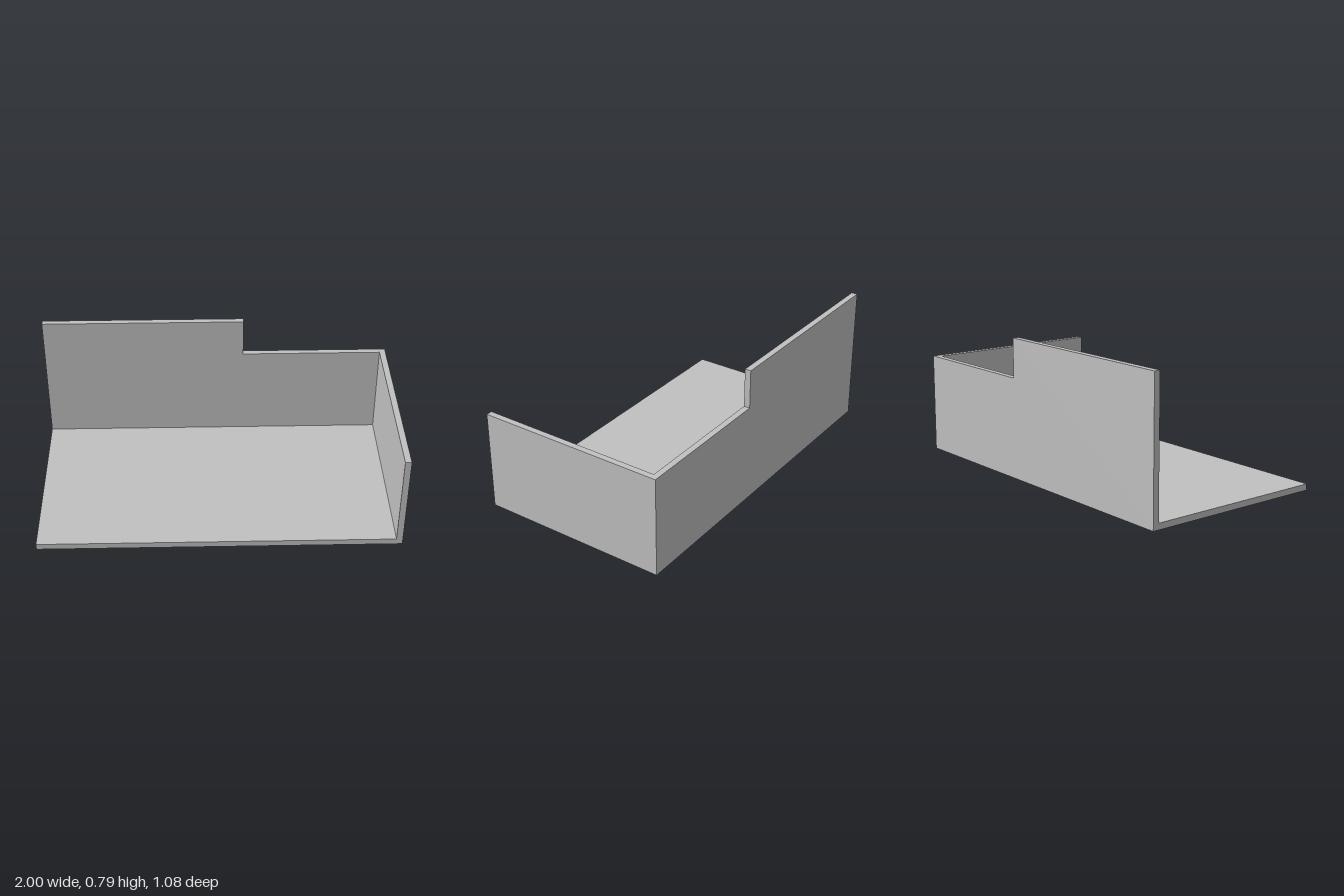
import * as THREE from 'three';

export function createModel() {
  const group = new THREE.Group();
  const lightGrey = new THREE.MeshStandardMaterial({ color: 0xc0c0c0 });
  lightGrey.name = 'lightGrey';

  const T = 0.035;          // panel thickness
  const D = 0.542;          // half depth
  const LOW = 0.566;        // height of side wall and low part of back wall
  const HIGH = 0.787;       // height of tall part of back wall
  const STEP = 0.162;       // x of the step in the back wall

  const add = (name, geometry, x, y, z) => {
    const mesh = new THREE.Mesh(geometry, lightGrey);
    mesh.name = name;
    mesh.position.set(x, y, z);
    group.add(mesh);
  };

  // Stepped back wall across the full width
  const outline = new THREE.Shape([
    [-1, 0], [1, 0], [1, LOW], [STEP, LOW], [STEP, HIGH], [-1, HIGH],
  ].map(([x, y]) => new THREE.Vector2(x, y)));
  add('backWall', new THREE.ExtrudeGeometry(outline, { depth: T, bevelEnabled: false }), 0, 0, -D);

  // Side wall on the left, butted against the back wall
  const depth = 2 * D - T;
  add('leftWall', new THREE.BoxGeometry(T, LOW, depth), 1 - T / 2, LOW / 2, T / 2);

  // Floor panel between the walls, open at the front and right
  add('floor', new THREE.BoxGeometry(2 - T, T, depth), -T / 2, T / 2, T / 2);

  return group;
}
